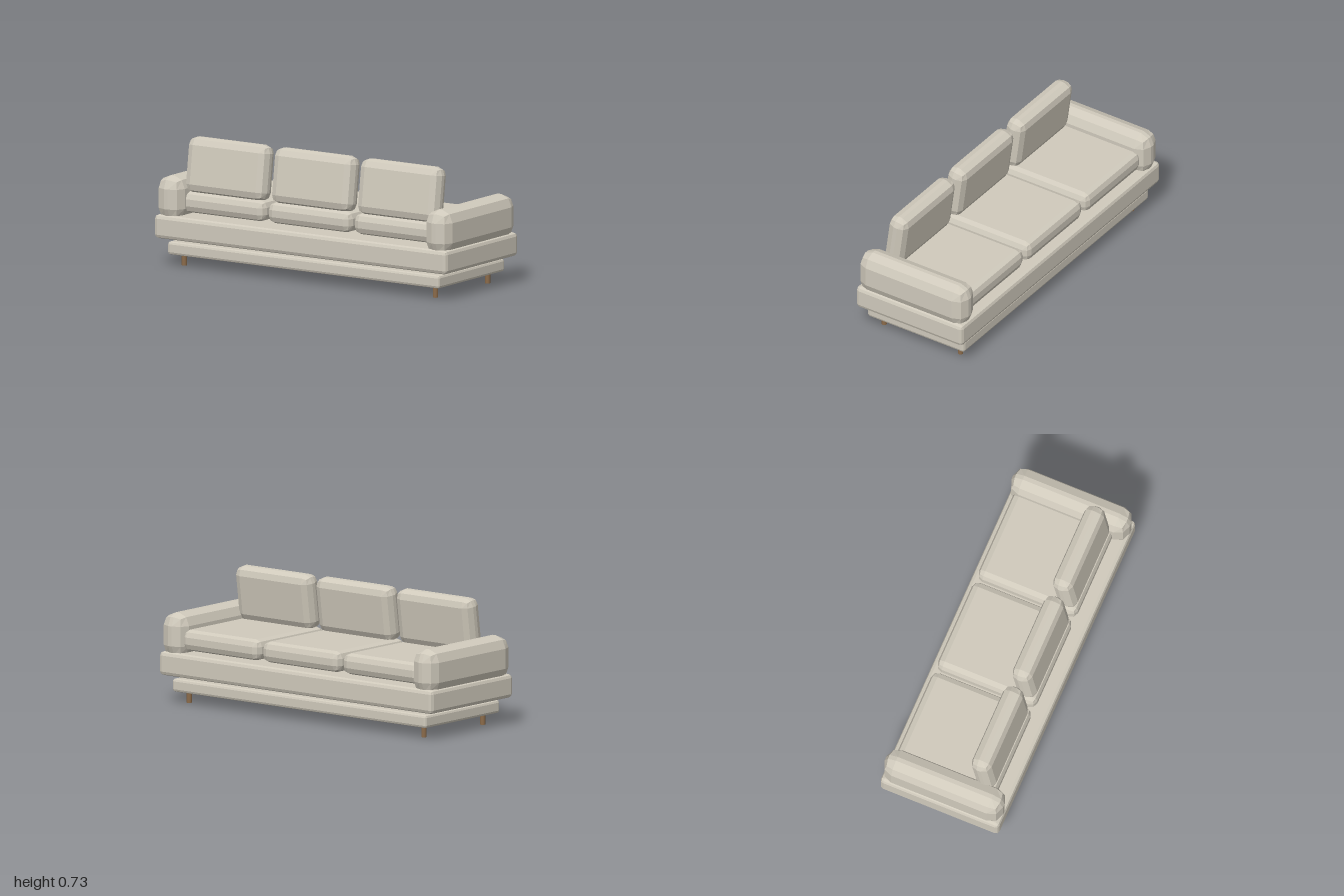
import * as THREE from 'three';
import { RoundedBoxGeometry } from 'three/addons/geometries/RoundedBoxGeometry.js';

export function createModel() {
  const sofa = new THREE.Group();
  sofa.name = 'sofa';

  const fabric = new THREE.MeshStandardMaterial({ color: 0xd0cabc, flatShading: true });
  const wood = new THREE.MeshStandardMaterial({ color: 0x8b6b4a });

  // Padded block with two facets around each edge
  function pad(name, size, radius, position) {
    const mesh = new THREE.Mesh(new RoundedBoxGeometry(...size, 1, radius), fabric);
    mesh.name = name;
    mesh.position.set(...position);
    sofa.add(mesh);
    return mesh;
  }

  // Plinth and the wider frame floating just above it
  pad('plinth', [1.86, 0.075, 0.66], 0.015, [0, 0.102, 0]);
  pad('frame', [2, 0.136, 0.726], 0.022, [0, 0.224, 0]);

  // Thick rounded arms, sunk slightly into the frame
  for (const side of [-1, 1]) {
    pad(side > 0 ? 'leftArm' : 'rightArm', [0.165, 0.255, 0.726], 0.07, [side * 0.917, 0.3875, 0]);
  }

  // Three seat cushions, each with a leaning back cushion
  for (const i of [-1, 0, 1]) {
    const x = i * 0.589;
    pad('seatCushion', [0.566, 0.12, 0.609], 0.04, [x, 0.365, -0.021]);
    const back = pad('backCushion', [0.546, 0.32, 0.12], 0.048, [x, 0.574, 0.2]);
    back.rotation.x = -0.135;
  }

  // Short round legs
  const legGeometry = new THREE.CylinderGeometry(0.015, 0.015, 0.07, 16);
  for (const x of [-0.86, 0.86]) {
    for (const z of [-0.26, 0.26]) {
      const leg = new THREE.Mesh(legGeometry, wood);
      leg.name = 'leg';
      leg.position.set(x, 0.035, z);
      sofa.add(leg);
    }
  }

  return sofa;
}
